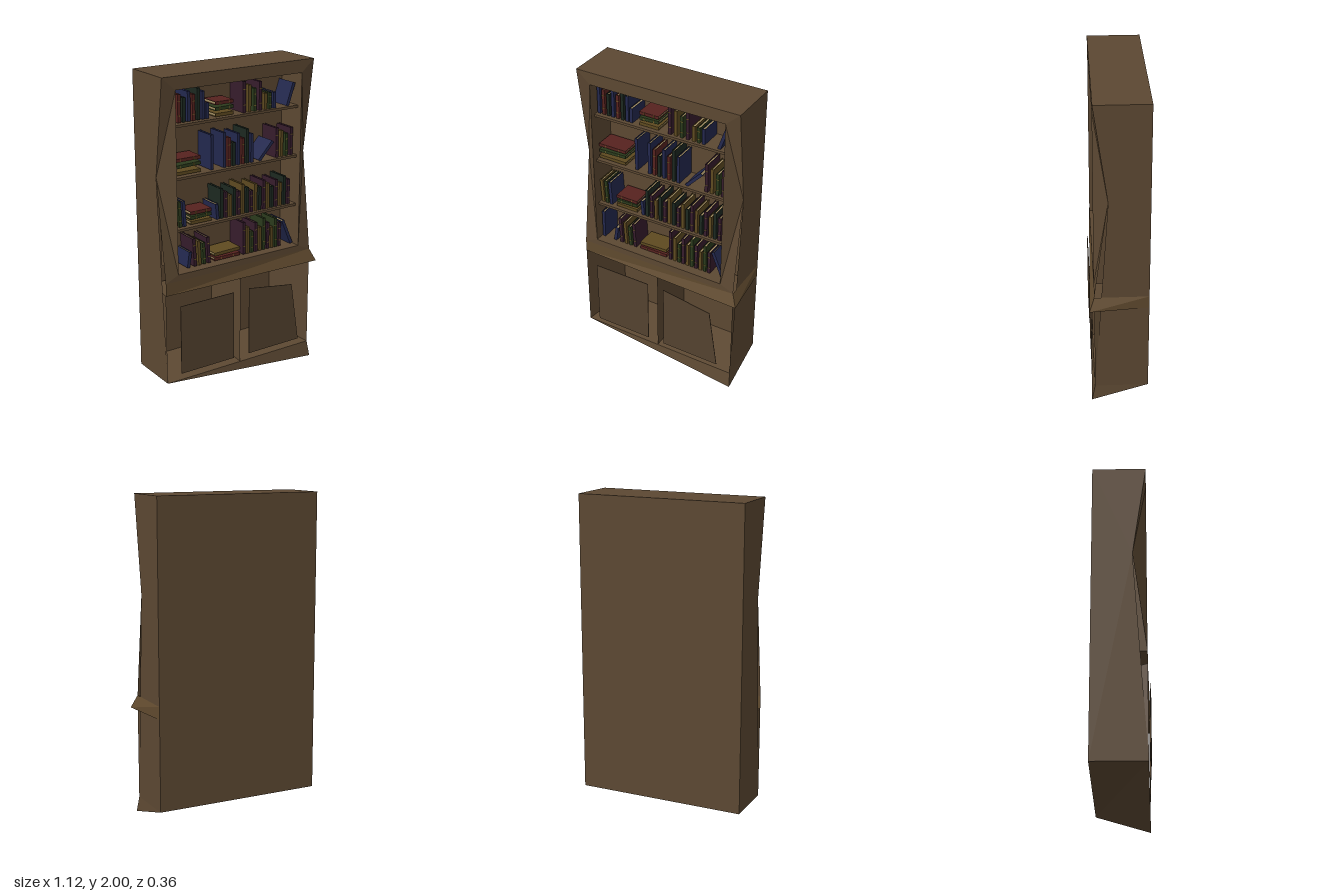
import * as THREE from 'three';

const mat = (color) => new THREE.MeshStandardMaterial({ color, flatShading: true, side: THREE.DoubleSide });
const wood = mat(0x5c4832), ledgeWood = mat(0x604a2e), doorWood = mat(0x54422f);
const pages = mat(0xa08c60), gold = mat(0x8a7430);
// Covers: red, blue, green, ochre, purple, near-black green
const covers = [0x56221f, 0x23284e, 0x2b3a1c, 0x5e4a20, 0x361c2c, 0x1c2820].map(mat);

// Mesh from flat polygons, each split as a fan from its first corner
function panels(name, material, polys) {
  const pos = [];
  for (const p of polys)
    for (let i = 1; i < p.length - 1; i++) pos.push(...p[0], ...p[i], ...p[i + 1]);
  const g = new THREE.BufferGeometry();
  g.setAttribute('position', new THREE.Float32BufferAttribute(pos, 3));
  g.computeVertexNormals();
  const m = new THREE.Mesh(g, material);
  m.name = name;
  return m;
}

function box(name, material, w, h, d, x, y, z) {
  const m = new THREE.Mesh(new THREE.BoxGeometry(w, h, d), material);
  m.position.set(x, y, z);
  m.name = name;
  return m;
}

// Rectangle corners, counter-clockwise from lower left
const rect = (x0, x1, y0, y1, z) => [[x0, y0, z], [x1, y0, z], [x1, y1, z], [x0, y1, z]];
// Four quads joining two rectangles
const bridge = (a, b) => a.map((p, i) => [p, a[(i + 1) % 4], b[(i + 1) % 4], b[i]]);

const L = -0.56, R = 0.52, F = 0.15, B = -0.18;
const IL = -0.47, IR = 0.43, IB = -0.05;

// Book standing on its lower edge: two covers, spine, page block, gold bands
function book(h, t, d, c) {
  const g = new THREE.Group(), m = covers[c], k = 0.003;
  g.name = 'book';
  for (const s of [-1, 1]) g.add(box('cover', m, k, h, d, s * (t - k) / 2, h / 2, 0));
  g.add(box('spine', m, t, h, k, 0, h / 2, d / 2));
  g.add(box('pages', pages, t - 2 * k, h * 0.92, d * 0.94, 0, h / 2, 0));
  if (c % 2 === 0)
    for (const f of [0.25, 0.75]) g.add(box('spineBand', gold, t * 0.9, 0.004, 0.002, 0, h * f, d / 2 + 0.002));
  return g;
}

// Row of upright books from x0 to x1, heights and covers following a repeating pattern
function bookRow(y, x0, x1, count, h, vary = 0, lean = 0) {
  const g = new THREE.Group();
  g.name = 'bookRow';
  for (let i = 0; i < count; i++) {
    const b = book(h + vary * (((i * 3 + 4) % 5) / 4), 0.02, 0.14, (i * 4 + (i % 3) + count) % 6);
    b.position.set(x0 + (x1 - x0) * (i / Math.max(1, count - 1)), y, 0.025);
    b.rotation.z = lean;
    g.add(b);
  }
  return g;
}

// Pile of books lying flat
function bookPile(y, x, w, count, gap) {
  const g = new THREE.Group();
  g.name = 'bookPile';
  for (let i = 0; i < count; i++) {
    const b = book(w, 0.02, 0.13, [3, 2, 0][(i + count) % 3]);
    b.rotation.z = -Math.PI / 2 + (i % 2 ? 0.03 : 0);
    b.position.set(x - w / 2, y + 0.012 + i * gap, 0.028);
    g.add(b);
  }
  return g;
}

// Books on one shelf, bottom to top
const fillShelf = [
  (y) => [
    bookPile(y, -0.08, 0.19, 2, 0.03), bookRow(y, -0.45, -0.45, 1, 0.19), bookRow(y, -0.365, -0.365, 1, 0.1, 0, -0.15),
    bookRow(y, -0.315, -0.215, 4, 0.14, 0.04, 0.06), bookRow(y, 0.045, 0.32, 10, 0.14, 0.07), bookRow(y, 0.415, 0.415, 1, 0.18, 0, 0.4),
  ],
  (y) => [
    bookPile(y, -0.27, 0.15, 3, 0.03), bookRow(y, -0.445, -0.385, 3, 0.16, 0, 0.06),
    bookRow(y, -0.15, -0.15, 1, 0.1, 0, 0.1), bookRow(y, -0.122, 0.385, 17, 0.14, 0.05),
  ],
  (y) => [
    bookPile(y, -0.365, 0.19, 3, 0.04), bookRow(y, -0.19, -0.19, 1, 0.215), bookRow(y, -0.1, 0.1, 7, 0.145, 0.07),
    bookRow(y, 0.155, 0.155, 1, 0.15, 0, -0.75), bookRow(y, 0.29, 0.4, 4, 0.145, 0.045),
  ],
  (y) => [
    bookPile(y, -0.1, 0.13, 3, 0.035), bookRow(y, -0.448, -0.25, 7, 0.145, 0.045), bookRow(y, -0.222, -0.222, 1, 0.095),
    bookRow(y, 0.042, 0.16, 4, 0.14, 0.05), bookRow(y, 0.2, 0.265, 3, 0.1), bookRow(y, 0.365, 0.365, 1, 0.15, 0, -0.33),
  ],
];

export function createModel() {
  const root = new THREE.Group();
  root.name = 'bookcase';

  // Carcass: sides pinched inward at the front edge
  const side = (x) => [[x, 1.4, 0.065], [x, 0.1, F], [x, 0.1, B], [x, 2, B], [x, 2, F]];
  const [pinch, ...outline] = side(L);
  root.add(panels('sidePanels', wood, [side(R), [pinch, ...outline.reverse()]]));
  root.add(panels('backPanel', wood, [rect(L, R, 0.1, 2, B).reverse()]));
  root.add(panels('topPanel', wood, [[[L, 2, F], [R, 2, F], [R, 2, B], [L, 2, B]]]));

  // Face frame around the shelves
  const cheek = (o, i) => [
    [[o, 2, F], [o, 1.4, 0.065], [i, 1.92, F]],
    [[o, 1.4, 0.065], [i, 0.8, F], [i, 1.92, F]],
    [[o, 1.4, 0.065], [o, 0.76, F], [i, 0.8, F]],
  ];
  root.add(panels('faceFrame', wood, [
    [[IL, 1.92, F], [IR, 1.92, F], [R, 2, F], [L, 2, F]],
    [[L, 0.76, F], [R, 0.76, F], [IR, 0.8, F], [IL, 0.8, F]],
    ...cheek(L, IL), ...cheek(R, IR).map((p) => p.reverse()),
  ]));

  // Open shelf compartment
  const inner = rect(IL, IR, 0.8, 1.92, IB);
  root.add(panels('shelfCompartment', wood, [inner, ...bridge(rect(IL, IR, 0.8, 1.92, F), inner)]));

  // Ledge flaring out to one corner
  const tip = [0.555, 0.68, 0.18];
  root.add(panels('ledge', ledgeWood, [
    [[L, 0.68, F], tip, [R, 0.76, F], [L, 0.76, F]],
    [tip, [R, 0.68, B], [R, 0.76, B], [R, 0.76, F]],
    [[L, 0.68, F], [R, 0.68, F], tip],
    [tip, [R, 0.68, F], [R, 0.68, B]],
  ]));

  // Two cupboard bays with walls tapering to the back
  for (const [x0, x1, a, b] of [[L, -0.02, IL, -0.035], [-0.02, R, 0, IR]]) {
    const back = rect(a, b, 0.145, 0.64, -0.16);
    root.add(panels('cupboardBay', wood, [back, ...bridge(rect(x0, x1, 0.1, 0.68, F), back)]));
  }

  // Thin doors, one of them skewed
  const doors = {
    rightDoor: [[-0.47, 0.15], [-0.08, 0.15], [-0.08, 0.6], [-0.47, 0.6]],
    leftDoor: [[0.035, 0.15], [0.43, 0.15], [0.37, 0.55], [0.035, 0.6]],
  };
  for (const [name, pts] of Object.entries(doors)) {
    const shape = new THREE.Shape(pts.map((p) => new THREE.Vector2(...p)));
    const m = new THREE.Mesh(new THREE.ExtrudeGeometry(shape, { depth: 0.004, bevelEnabled: false }), doorWood);
    m.position.z = 0.164;
    m.name = name;
    root.add(m);
  }

  // Plinth dropping to one front corner
  const foot = [0.53, 0, 0.17];
  root.add(panels('plinth', wood, [
    [[L, 0.1, F], foot, [R, 0.1, F]],
    [foot, [R, 0.1, B], [R, 0.1, F]],
    [[L, 0.1, F], [R, 0.1, B], foot],
    [[L, 0.1, F], [L, 0.1, B], [R, 0.1, B]],
  ]));

  // Shelves and their books
  [0.805, 1.075, 1.395, 1.712].forEach((y, n) => {
    if (n > 0) {
      const s = box('shelf', wood, IR - IL, 0.016, 0.165, (IL + IR) / 2, y - 0.01, 0.033);
      s.rotation.z = 0.008;
      root.add(s);
    }
    root.add(...fillShelf[n](y));
  });
  return root;
}
